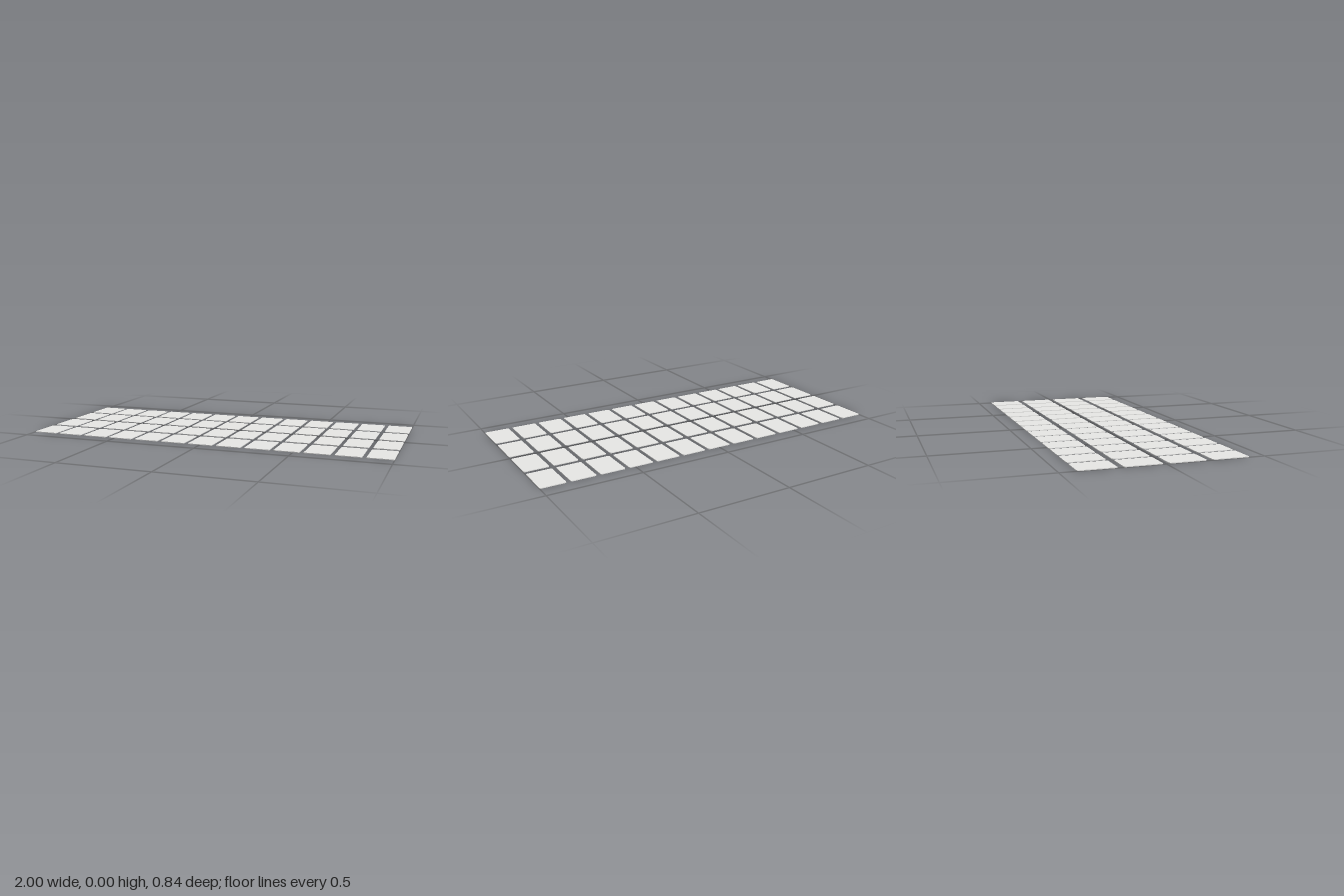
import * as THREE from 'three';

const COLS = 13, ROWS = 4;
const W = 0.134, D = 0.188, T = 0.004, R = 0.008;
const PITCH_X = (2 - W) / (COLS - 1);
const PITCH_Z = 0.217;

// Rounded rectangle outline of one card
function cardOutline() {
  const s = new THREE.Shape(), x = W / 2, y = D / 2;
  s.moveTo(-x + R, -y);
  s.lineTo(x - R, -y);
  s.absarc(x - R, -y + R, R, -Math.PI / 2, 0);
  s.lineTo(x, y - R);
  s.absarc(x - R, y - R, R, 0, Math.PI / 2);
  s.lineTo(-x + R, y);
  s.absarc(-x + R, y - R, R, Math.PI / 2, Math.PI);
  s.lineTo(-x, -y + R);
  s.absarc(-x + R, -y + R, R, Math.PI, Math.PI * 1.5);
  return s;
}

// Card slab lying flat: group 0 is the underside, group 1 the top face and rim
function cardGeometry() {
  const g = new THREE.ExtrudeGeometry(cardOutline(), { depth: T, bevelEnabled: false, curveSegments: 4 });
  g.rotateX(-Math.PI / 2);
  const half = g.groups[0].count / 2;
  const total = g.attributes.position.count;
  g.clearGroups();
  g.addGroup(0, half, 0);
  g.addGroup(half, total - half, 1);
  return g;
}

export function createModel() {
  const model = new THREE.Group();
  model.name = 'cardGrid';

  const back = new THREE.MeshStandardMaterial({ color: 0x2a4099 });
  back.name = 'blue back';
  const face = new THREE.MeshStandardMaterial({ color: 0xf4f4f2 });
  face.name = 'white face';

  const geometry = cardGeometry();
  for (let r = 0; r < ROWS; r++) {
    const row = new THREE.Group();
    row.name = `cardRow${r + 1}`;
    row.position.z = (r - (ROWS - 1) / 2) * PITCH_Z;
    for (let c = 0; c < COLS; c++) {
      const card = new THREE.Mesh(geometry, [back, face]);
      card.name = `card${r + 1}_${c + 1}`;
      card.position.x = (c - (COLS - 1) / 2) * PITCH_X;
      row.add(card);
    }
    model.add(row);
  }
  return model;
}
